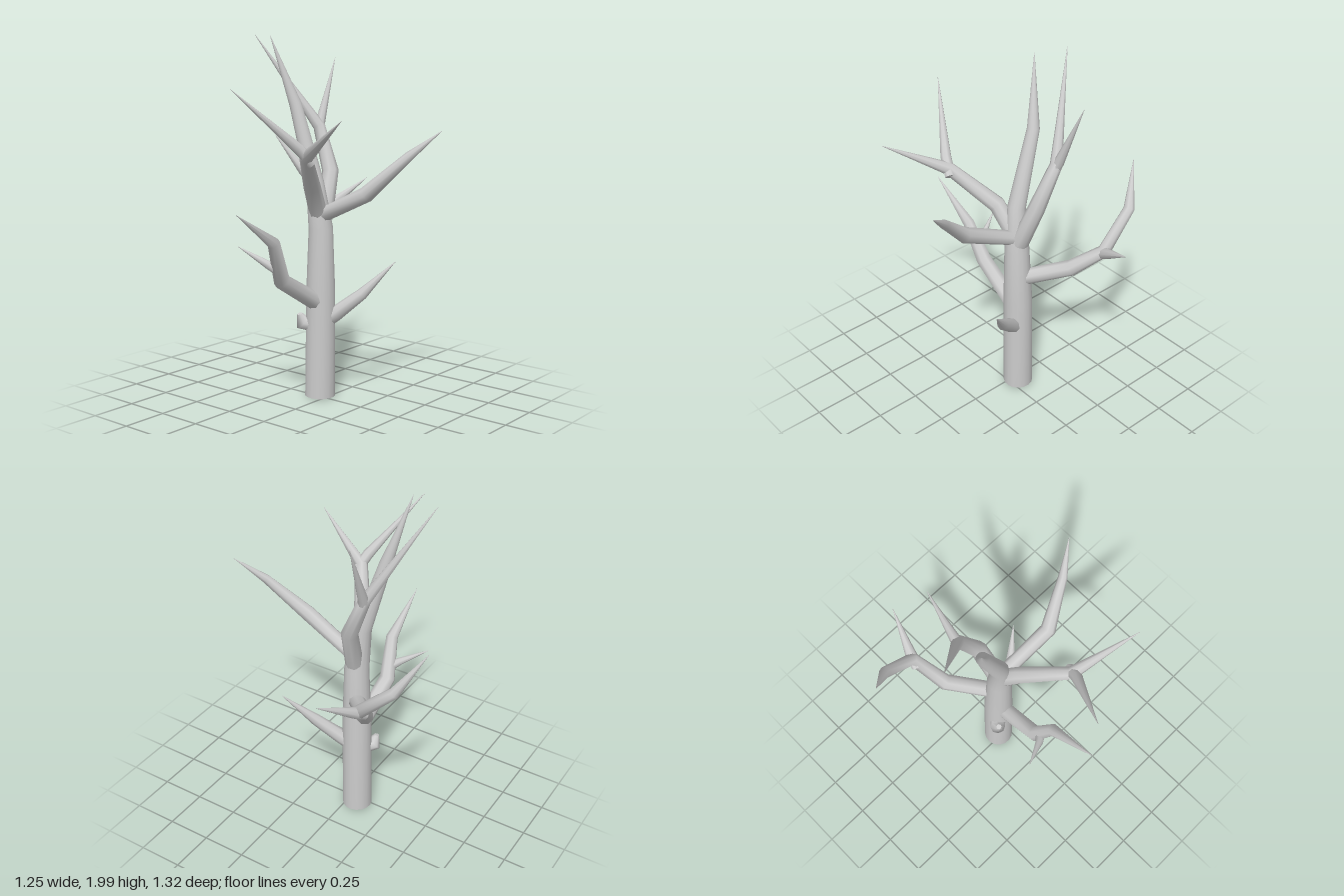
import * as THREE from 'three';

const material = new THREE.MeshStandardMaterial({ color: 0xcccccc });

// Tapered limb: each station is [x, y, z, radius]; rings follow the bends
function limb(name, stations, sides = 8) {
  const pts = stations.map(s => new THREE.Vector3(s[0], s[1], s[2]));
  const last = pts.length - 1;
  const pos = [], idx = [];
  let side = new THREE.Vector3(1, 0, 0.3);
  pts.forEach((p, i) => {
    const before = p.clone().sub(pts[Math.max(i - 1, 0)]).normalize();
    const after = pts[Math.min(i + 1, last)].clone().sub(p).normalize();
    const dir = before.add(after).normalize();
    if (i === 0 && Math.abs(side.clone().normalize().dot(dir)) > 0.9) side.set(0, 0, 1);
    // carry the ring's orientation along so the limb does not twist
    side = side.clone().addScaledVector(dir, -side.dot(dir)).normalize();
    const up = new THREE.Vector3().crossVectors(dir, side);
    for (let j = 0; j < sides; j++) {
      const a = j / sides * Math.PI * 2;
      const v = p.clone()
        .addScaledVector(side, Math.cos(a) * stations[i][3])
        .addScaledVector(up, Math.sin(a) * stations[i][3]);
      pos.push(v.x, v.y, v.z);
    }
  });
  for (let i = 0; i < last; i++) {
    for (let j = 0; j < sides; j++) {
      const k = (j + 1) % sides;
      const a = i * sides + j, b = i * sides + k;
      idx.push(a, b, b + sides, a, b + sides, a + sides);
    }
  }
  // flat end caps on their own vertices
  for (const ring of [0, last]) {
    const start = pos.length / 3;
    for (let j = 0; j < sides * 3; j++) pos.push(pos[ring * sides * 3 + j]);
    for (let j = 1; j < sides - 1; j++) {
      if (ring === 0) idx.push(start, start + j + 1, start + j);
      else idx.push(start, start + j, start + j + 1);
    }
  }
  const geometry = new THREE.BufferGeometry();
  geometry.setAttribute('position', new THREE.Float32BufferAttribute(pos, 3));
  geometry.setIndex(idx);
  geometry.computeVertexNormals();
  const mesh = new THREE.Mesh(geometry, material);
  mesh.name = name;
  return mesh;
}

export function createModel() {
  const tree = new THREE.Group();
  tree.name = 'bareTree';

  // trunk running on into the leading shoot
  tree.add(limb('trunk', [
    [-0.055, 0, -0.025, 0.085], [-0.05, 0.6, -0.025, 0.081], [-0.045, 0.95, -0.02, 0.068],
    [-0.065, 1.2, 0.005, 0.05], [-0.19, 1.62, 0.02, 0.034], [-0.28, 1.985, 0.12, 0.001],
  ], 16));

  const branches = {
    // low front branch and its twig
    lowFrontBranch: [[-0.05, 0.54, 0.01, 0.05], [-0.06, 0.7, 0.285, 0.045],
      [-0.03, 0.92, 0.38, 0.034], [-0.03, 1.1, 0.655, 0.001]],
    lowFrontTwig: [[-0.05, 0.76, 0.31, 0.03], [-0.1, 0.795, 0.35, 0.022], [-0.25, 0.885, 0.42, 0.001]],
    // low back-left spike
    lowBackBranch: [[-0.02, 0.43, -0.04, 0.04], [0.03, 0.475, -0.065, 0.042],
      [0.155, 0.59, -0.135, 0.032], [0.295, 0.77, -0.25, 0.001]],
    // short cut stub
    stub: [[-0.08, 0.41, 0, 0.045], [-0.125, 0.42, 0.045, 0.043], [-0.13, 0.47, 0.06, 0.015]],
    // branch to the left
    leftBranch: [[-0.03, 1.02, -0.015, 0.04], [0.29, 1.165, 0.015, 0.043],
      [0.49, 1.37, -0.085, 0.025], [0.625, 1.5, -0.18, 0.001]],
    // forked branch to the front left
    frontBranch: [[-0.045, 1.03, 0, 0.05], [-0.005, 1.19, 0.1, 0.047], [0.14, 1.37, 0.32, 0.036],
      [0.47, 1.575, 0.45, 0.001]],
    frontTwig: [[0.155, 1.34, 0.29, 0.03], [0.125, 1.42, 0.365, 0.03], [-0.06, 1.72, 0.655, 0.001]],
    // forked branch to the back right
    backRightBranch: [[-0.06, 0.76, -0.05, 0.045], [-0.24, 0.85, -0.25, 0.045],
      [-0.31, 1.02, -0.42, 0.036], [-0.5, 1.2, -0.405, 0.031], [-0.625, 1.41, -0.3, 0.001]],
    backRightTwig: [[-0.315, 0.98, -0.38, 0.03], [-0.3, 1.02, -0.44, 0.032], [-0.215, 1.155, -0.66, 0.001]],
    // forked upright branch behind the leading shoot
    topBackBranch: [[-0.045, 1, -0.045, 0.05], [-0.075, 1.25, -0.14, 0.046],
      [-0.18, 1.49, -0.17, 0.034], [-0.45, 1.99, 0.055, 0.001]],
    topBackTwig: [[-0.165, 1.44, -0.16, 0.028], [-0.185, 1.51, -0.185, 0.028], [-0.2, 1.865, -0.335, 0.001]],
  };
  for (const [name, stations] of Object.entries(branches)) tree.add(limb(name, stations));

  return tree;
}
